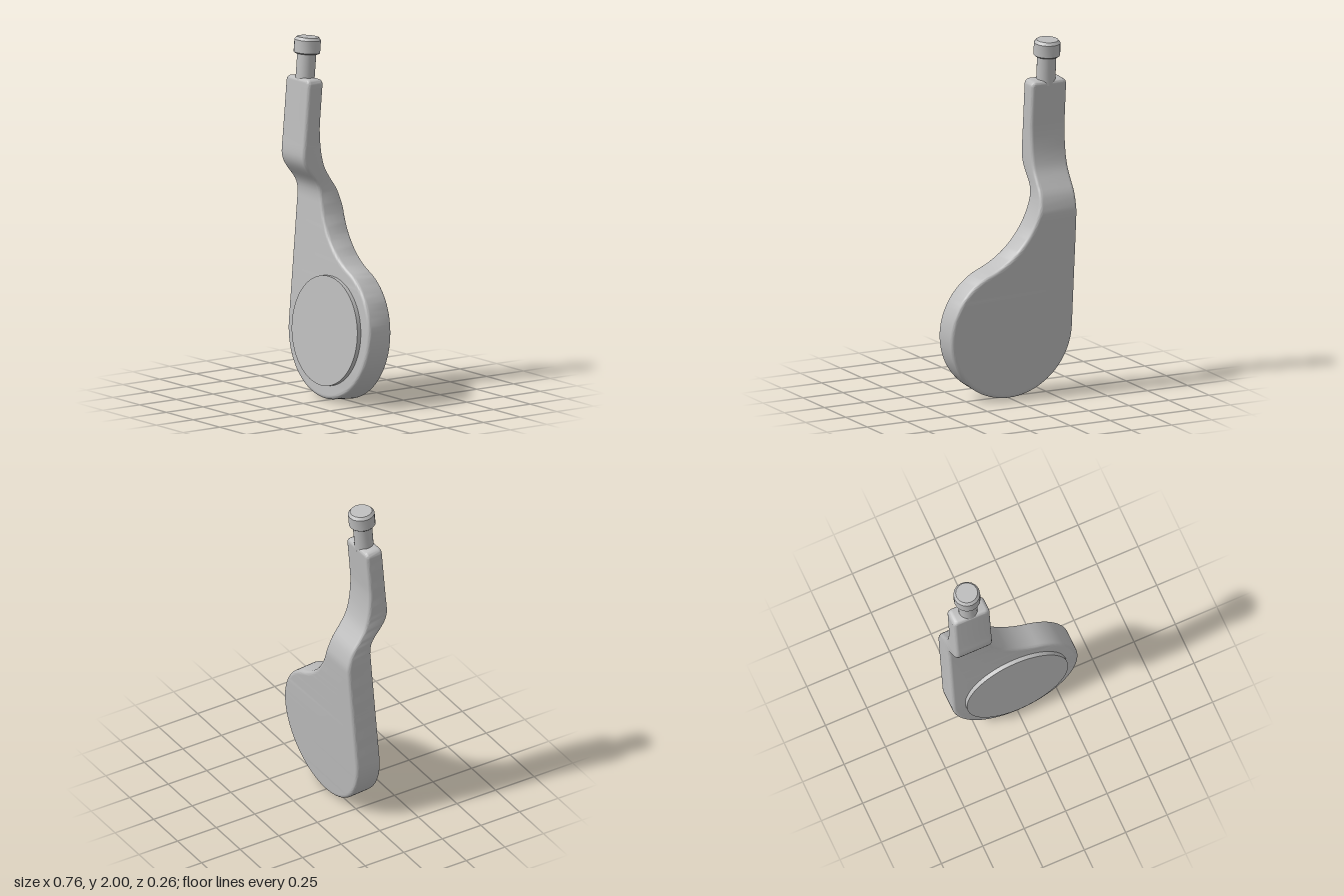
import * as THREE from 'three';
import { toCreasedNormals } from 'three/addons/utils/BufferGeometryUtils.js';

const TILT = 0.083; // lean of the whole lever, z per unit of y

// Smooth z(y) lookup through a few profile points
function profile(points) {
  const pts = new THREE.CatmullRomCurve3(points.map(([y, z]) => new THREE.Vector3(0, y, z))).getPoints(400);
  return (y) => {
    let i = 1;
    while (i < pts.length - 1 && pts[i].y < y) i++;
    const a = pts[i - 1], b = pts[i];
    return a.z + (b.z - a.z) * THREE.MathUtils.clamp((y - a.y) / (b.y - a.y), 0, 1);
  };
}
const frontZ = profile([[0, 0.113], [0.6, 0.063], [1.05, 0.026], [1.11, 0.022], [1.16, 0.03], [1.2, 0.052],
  [1.24, 0.085], [1.285, 0.116], [1.325, 0.129], [1.37, 0.129], [1.42, 0.124], [1.77, 0.094]]);
const backZ = profile([[0, -0.043], [0.6, -0.093], [1, -0.126], [1.05, -0.128], [1.1, -0.118], [1.15, -0.1],
  [1.21, -0.06], [1.275, -0.022], [1.34, -0.003], [1.42, 0.008], [1.5, 0.011], [1.55, 0.008], [1.77, -0.01]]);

// Lever outline as a counter-clockwise loop, right and left points paired by height
function leverOutline() {
  const cy = 0.387, R = 0.379, right = [], left = [];
  const add = (x, y, lx) => {
    right.push(new THREE.Vector2(x, y));
    left.push(new THREE.Vector2(lx ?? (y < cy ? -Math.sqrt(Math.max(0, R * R - (y - cy) ** 2)) : -R), y));
  };
  const neckX = -0.16, filletY = 1.2;
  // fillet radius that touches both the neck and the round end
  const h = filletY - cy;
  const F = (neckX * neckX + h * h - R * R) / (2 * (R - neckX * -1 + 0) + 4 * -neckX);
  const fx = neckX + F, join = Math.atan2(h, fx);
  for (let i = 0; i <= 44; i++) {
    const a = -Math.PI / 2 + (join + Math.PI / 2) * i / 44;
    add(R * Math.cos(a), cy + R * Math.sin(a));
  }
  for (let i = 1; i <= 28; i++) {
    const a = join + Math.PI - join * i / 28;
    add(fx + F * Math.cos(a), filletY + F * Math.sin(a));
  }
  for (let y = filletY + 0.02; y < 1.73; y += 0.02) add(neckX, y);
  const c = 0.03; // rounded top corners
  for (let i = 0; i <= 6; i++) {
    const a = Math.PI / 2 * i / 6, dx = c - c * Math.cos(a);
    add(neckX - dx, 1.77 - c + c * Math.sin(a), -R + dx);
  }
  return { loop: [...right, ...left.slice(1).reverse()], rows: right.length };
}

// Bent plate with rounded rims
function leverGeometry() {
  const { loop, rows } = leverOutline();
  const M = loop.length, r = 0.02;
  const edgeNormal = (a, b) => new THREE.Vector2(b.y - a.y, a.x - b.x).normalize();
  const normals = loop.map((p, k) =>
    edgeNormal(loop[(k + M - 1) % M], p).add(edgeNormal(p, loop[(k + 1) % M])).normalize());

  // rim levels: [inset, depth below the face]
  const rim = [[r + 0.005, 0]];
  for (let i = 0; i <= 5; i++) {
    const a = Math.PI / 2 * i / 5;
    rim.push([r - r * Math.sin(a), r - r * Math.cos(a)]);
  }
  const levels = [...rim.map(([n, d]) => [n, d, true]), ...rim.map(([n, d]) => [n, d, false]).reverse()];

  const pos = [], index = [];
  for (const [inset, depth, isFront] of levels) {
    loop.forEach((p, k) => {
      const x = p.x - normals[k].x * inset, y = p.y - normals[k].y * inset;
      const f = frontZ(y), b = backZ(y), z = isFront ? f - depth : b + depth;
      pos.push(x, y + TILT * (z - (f + b) / 2), z);
    });
  }
  const quad = (a, b, c, d) => index.push(a, b, c, a, c, d);
  for (let j = 0; j < levels.length - 1; j++) {
    for (let k = 0; k < M; k++) {
      const n = (k + 1) % M;
      quad(j * M + k, (j + 1) * M + k, (j + 1) * M + n, j * M + n);
    }
  }
  // front and back faces as strips between paired points
  const back = (levels.length - 1) * M;
  index.push(0, 1, M - 1, back, back + M - 1, back + 1);
  for (let i = 1; i < rows - 1; i++) {
    const l0 = M - i, l1 = M - i - 1;
    quad(i, i + 1, l1, l0);
    quad(back + i, back + l0, back + l1, back + i + 1);
  }
  const g = new THREE.BufferGeometry();
  g.setAttribute('position', new THREE.Float32BufferAttribute(pos, 3));
  g.setIndex(index);
  return toCreasedNormals(g, 0.6);
}

export function createModel() {
  const group = new THREE.Group();
  const grey = new THREE.MeshStandardMaterial({ color: 0xbdbdbd });
  grey.name = 'grey';
  const add = (name, geometry) => {
    const mesh = new THREE.Mesh(geometry, grey);
    mesh.name = name;
    group.add(mesh);
    return mesh;
  };
  add('lever', leverGeometry());

  // Raised round pad on the front
  const pad = add('roundPad', new THREE.CylinderGeometry(0.305, 0.305, 0.05, 72));
  pad.rotation.x = Math.PI / 2 - TILT;
  pad.position.set(0, 0.393, 0.08);

  // Pin with a chamfered head
  const pinPart = (name, points, sides) => {
    const lathe = new THREE.LatheGeometry(points.map(([x, y]) => new THREE.Vector2(x, y)), sides);
    const mesh = add(name, toCreasedNormals(lathe, 0.6));
    mesh.position.set(-0.27, 1.77, 0.04);
    mesh.rotation.x = -TILT;
  };
  pinPart('pinNeck', [[0.053, -0.03], [0.053, 0.14]], 24);
  pinPart('pinHead', [[0, 0.132], [0.068, 0.132], [0.074, 0.138], [0.074, 0.208], [0.061, 0.224], [0, 0.224]], 16);
  return group;
}
